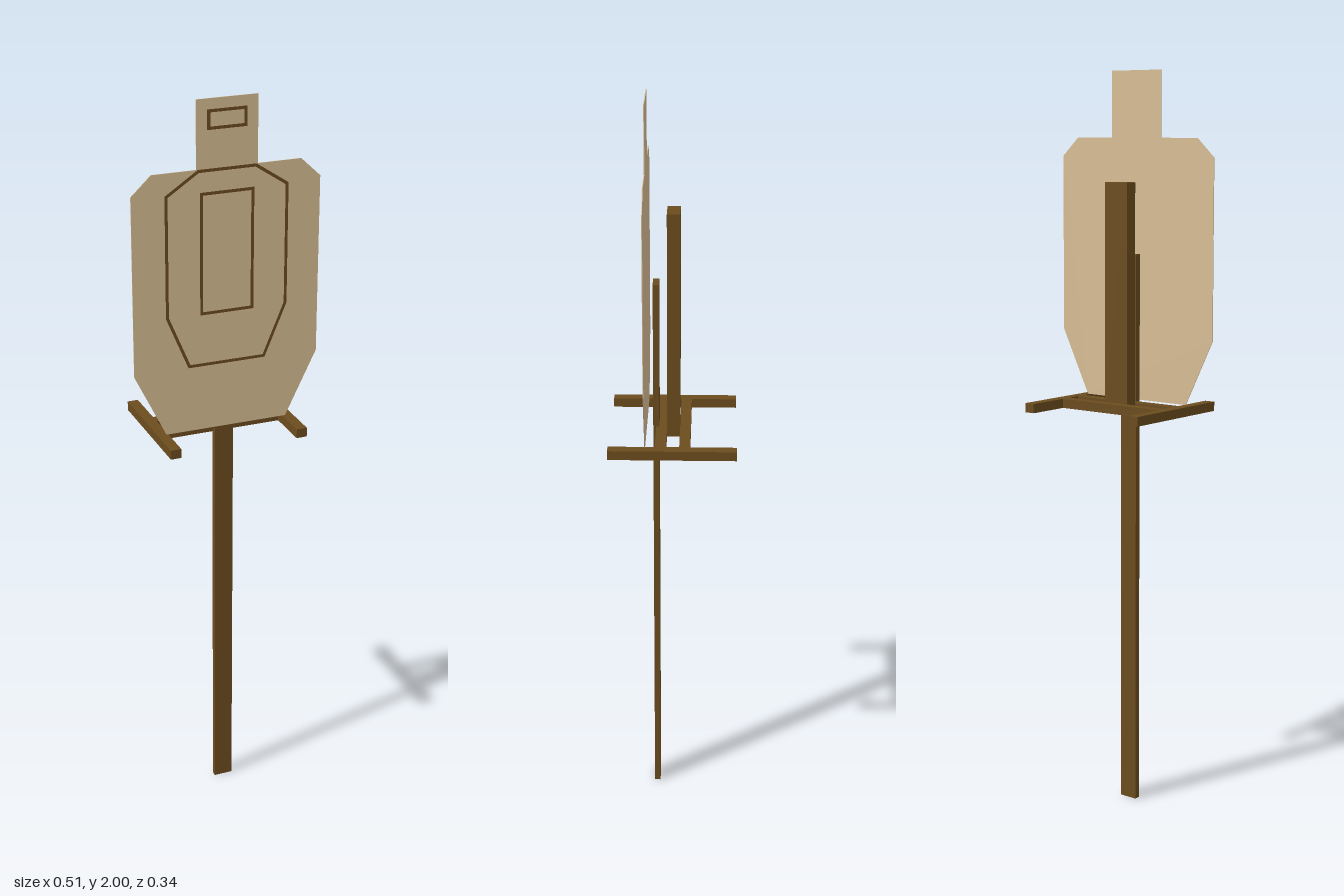
import * as THREE from 'three';

const wood = new THREE.MeshStandardMaterial({ color: 0x6b4c1e });
const card = new THREE.MeshStandardMaterial({ color: 0xd8bd94 });

// Box given by its extents on each axis
function plank(name, [x0, x1], [y0, y1], [z0, z1]) {
  const mesh = new THREE.Mesh(new THREE.BoxGeometry(x1 - x0, y1 - y0, z1 - z0), wood);
  mesh.position.set((x0 + x1) / 2, (y0 + y1) / 2, (z0 + z1) / 2);
  mesh.name = name;
  return mesh;
}

// Closed symmetric outline from its right half, listed bottom to top
function mirrored(half) {
  const left = half.map(([x, y]) => [-x, y]).reverse();
  return [...half, ...left].map(([x, y]) => new THREE.Vector2(x, y));
}

// Move every edge of a counter-clockwise outline inwards by d
function inset(points, d) {
  const n = points.length;
  return points.map((p, i) => {
    const a = p.clone().sub(points[(i + n - 1) % n]).normalize();
    const b = points[(i + 1) % n].clone().sub(p).normalize();
    const na = new THREE.Vector2(-a.y, a.x);
    const nb = new THREE.Vector2(-b.y, b.x);
    const k = d / (1 + na.dot(nb));
    return p.clone().add(na.add(nb).multiplyScalar(k));
  });
}

// Thin scoring line on the face of the target
function scoreLine(name, half, z) {
  const outer = mirrored(half);
  const shape = new THREE.Shape(outer);
  shape.holes.push(new THREE.Path(inset(outer, 0.008)));
  const mesh = new THREE.Mesh(new THREE.ShapeGeometry(shape), wood);
  mesh.position.z = z;
  mesh.name = name;
  return mesh;
}

export function createModel() {
  const model = new THREE.Group();
  model.name = 'targetStand';

  // H-shaped base frame: two feet joined by two cross bars
  const frameY = [1.1, 1.125];
  const frame = new THREE.Group();
  frame.name = 'baseFrame';
  frame.add(
    plank('rightFoot', [-0.192, -0.163], frameY, [-0.1675, 0.1675]),
    plank('leftFoot', [0.16, 0.189], frameY, [-0.1675, 0.1675]),
    plank('backCrossBar', [-0.163, 0.16], frameY, [-0.0465, -0.018]),
    plank('frontCrossBar', [-0.163, 0.16], frameY, [0.0165, 0.0455])
  );
  model.add(frame);

  // Upright held between the bars, and the long stake in front of it
  model.add(plank('upright', [-0.039, 0.036], [1.1, 1.71], [-0.018, 0.0165]));
  model.add(plank('stake', [-0.026, 0.026], [0, 1.52], [0.0375, 0.0535]));

  // Cardboard silhouette
  const target = new THREE.Group();
  target.name = 'target';
  const silhouette = new THREE.Shape(mirrored([
    [0.168, 1.125], [0.2535, 1.3], [0.2535, 1.775], [0.2, 1.825], [0.082, 1.825], [0.082, 2]
  ]));
  const board = new THREE.Mesh(
    new THREE.ExtrudeGeometry(silhouette, { depth: 0.002, bevelEnabled: false }), card);
  board.position.z = 0.07;
  board.name = 'board';
  target.add(board);

  // Scoring zones
  const faceZ = 0.0728;
  target.add(
    scoreLine('bodyZone', [[0.106, 1.303], [0.166, 1.446], [0.166, 1.767], [0.078, 1.825]], faceZ),
    scoreLine('chestZone', [[0.073, 1.443], [0.073, 1.766]], faceZ),
    scoreLine('headZone', [[0.053, 1.922], [0.053, 1.973]], faceZ)
  );
  model.add(target);

  return model;
}
